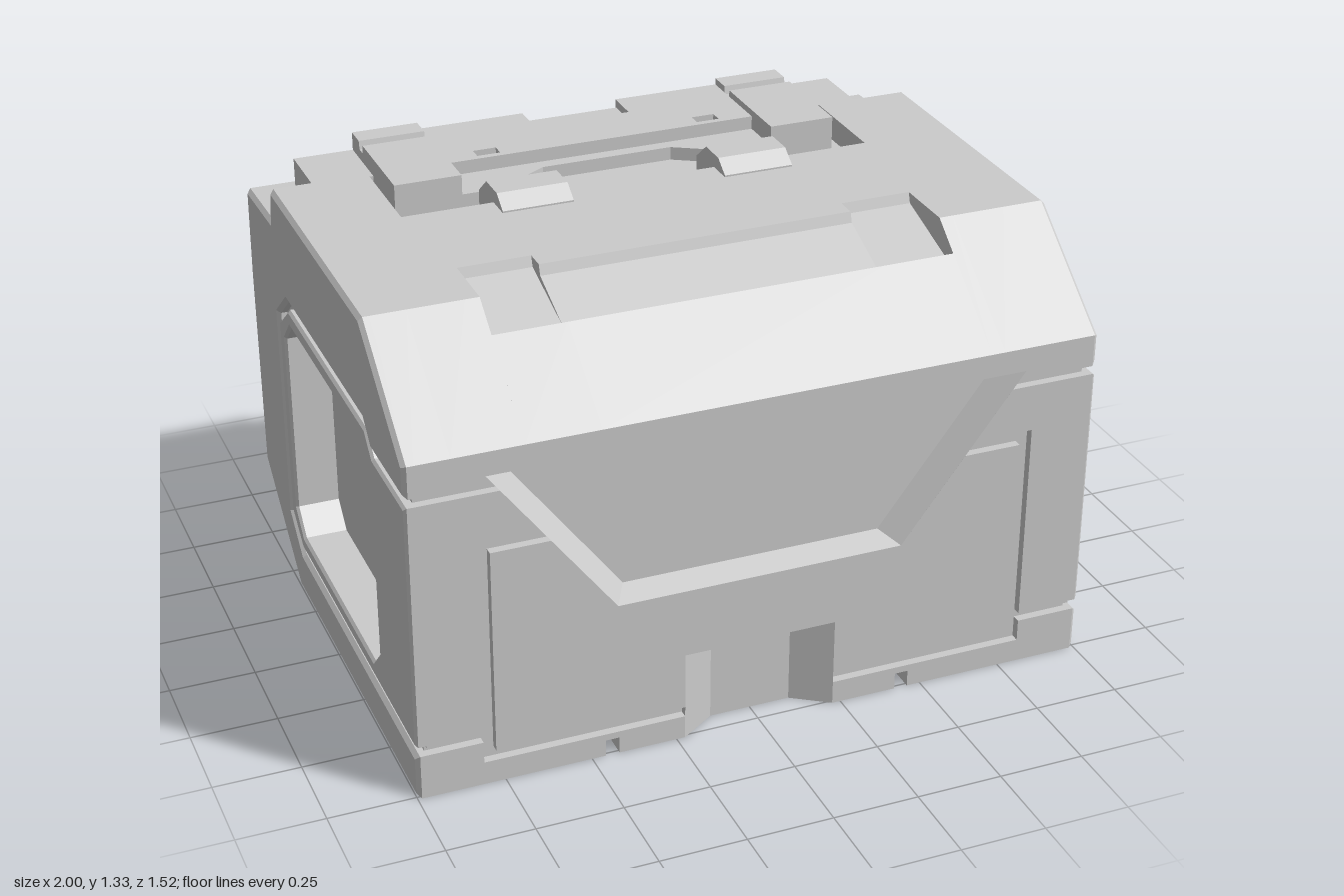
import * as THREE from 'three';

const mat = new THREE.MeshStandardMaterial({ color: 0xcccccc, side: THREE.DoubleSide, flatShading: true });

function makeShape(pts, holes = []) {
  const v = (p) => p.map(([a, b]) => new THREE.Vector2(a, b));
  const s = new THREE.Shape(v(pts));
  s.holes = holes.map((h) => new THREE.Path(v(h)));
  return s;
}

// Points are [z, y]; extruded from x0 to x1, optionally with a bevelled rim
function alongX(pts, x0, x1, holes = [], bevel = 0) {
  const flip = (p) => p.map(([z, y]) => [-z, y]);
  const g = new THREE.ExtrudeGeometry(makeShape(flip(pts), holes.map(flip)), {
    depth: x1 - x0 - 2 * bevel, bevelEnabled: bevel > 0, bevelThickness: bevel,
    bevelSize: bevel, bevelOffset: -bevel, bevelSegments: 1,
  });
  return g.rotateY(Math.PI / 2).translate(x0 + bevel, 0, 0);
}

// Points are [x, z]; extruded from y0 to y1
function alongY(pts, y0, y1, holes = []) {
  const g = new THREE.ExtrudeGeometry(makeShape(pts, holes), { depth: y1 - y0, bevelEnabled: false });
  return g.rotateX(Math.PI / 2).translate(0, y1, 0);
}

// Points are [x, y]; extruded from z0 to z1
function alongZ(pts, z0, z1, holes = []) {
  const g = new THREE.ExtrudeGeometry(makeShape(pts, holes), { depth: z1 - z0, bevelEnabled: false });
  return g.translate(0, 0, z0);
}

// Sloping wall between two loops of [x, y, z] points
function wallBetween(a, b) {
  const pos = [];
  a.forEach((p, i) => {
    const j = (i + 1) % a.length;
    pos.push(...p, ...a[j], ...b[j], ...p, ...b[j], ...b[i]);
  });
  const g = new THREE.BufferGeometry();
  g.setAttribute('position', new THREE.Float32BufferAttribute(pos, 3));
  g.computeVertexNormals();
  return g;
}

const rect = (a0, a1, b0, b1) => [[a0, b0], [a1, b0], [a1, b1], [a0, b1]];
const mirrored = (half) => [...half, ...half.map(([x, y]) => [-x, y]).reverse()];

export function createModel() {
  const group = new THREE.Group();
  const add = (name, geo) => {
    const m = new THREE.Mesh(geo, mat);
    m.name = name;
    group.add(m);
    return m;
  };
  // Adds a part on +x and its mirror image on -x
  const addPair = (name, make) => {
    add(name + 'Left', make(1));
    add(name + 'Right', make(-1));
  };
  const pairX = (name, pts, x0, x1, holes, bevel) =>
    addPair(name, (s) => (s > 0 ? alongX(pts, x0, x1, holes, bevel) : alongX(pts, -x1, -x0, holes, bevel)));
  const flipX = (pts, s) => pts.map(([x, b]) => [s * x, b]);

  // Core cross-sections, inset at the front and bottom to leave room for plates
  const lower = [[0.76, 1.02], [0.76, 0.95], [0.69, 0.95], [0.69, 0.04], [-0.462, 0.04], [-0.75, 0.27], [-0.76, 0.9]];
  const stepBack = [[-0.75, 1.17], [-0.48, 1.18], [-0.46, 1.285]];
  const pocketBack = [[-0.757, 0.96], [-0.72, 0.96], [-0.72, 1.21], [-0.14, 1.21], [-0.14, 1.285]];
  const slot = (z) => [[z, 1.285], [z + 0.01, 1.255], [0.47, 1.185], [0.51, 1.215]];
  const plainTop = [[0.42, 1.285]];
  const octagon = [[0.45, 0.28], [0.38, 0.21], [-0.33, 0.21], [-0.4, 0.28],
    [-0.4, 0.84], [-0.33, 0.91], [0.38, 0.91], [0.45, 0.84]];

  add('coreMiddle', alongX([...lower, ...pocketBack, ...slot(0.29)], -0.46, 0.46));
  pairX('coreSlotEnd', [...lower, ...pocketBack, ...slot(0.23)], 0.46, 0.67);
  pairX('corePocketEnd', [...lower, ...pocketBack, ...plainTop], 0.67, 0.71);
  pairX('coreSide', [...lower, ...stepBack, ...plainTop], 0.71, 0.87);
  pairX('windowWall', [...lower, ...stepBack, ...plainTop], 0.87, 0.97, [octagon]);

  // Side shells: a C-shaped outer frame and an inner panel separated by a groove
  const frame = [[0.76, 0.135], [0.76, 0], [-0.41, 0], [-0.75, 0.27], [-0.76, 0.9], ...stepBack,
    [0.42, 1.285], [0.76, 1.02], [0.76, 0.925], [0.47, 0.925], [0.41, 0.985], [-0.35, 0.985],
    [-0.47, 0.89], [-0.47, 0.23], [-0.36, 0.135]];
  const panel = [[0.76, 0.9], [0.48, 0.9], [0.42, 0.96], [-0.34, 0.96], [-0.45, 0.875],
    [-0.45, 0.245], [-0.35, 0.165], [0.76, 0.165]];
  pairX('sideFrame', frame, 0.95, 1, [], 0.012);
  pairX('sidePanel', panel, 0.95, 1, [octagon], 0.008);

  // Front backing plate with trapezoid recess and lower notch
  add('frontBacking', alongZ(mirrored([[0.225, 0.04], [0.97, 0.04], [0.97, 0.95], [0.78, 0.95], [0.42, 0.475]])
    .concat([[-0.225, 0.27], [0.225, 0.27]]), 0.69, 0.735));
  add('trapezoidBevel', wallBetween(
    [[-0.78, 0.95, 0.76], [-0.42, 0.475, 0.76], [0.42, 0.475, 0.76], [0.78, 0.95, 0.76]],
    [[-0.72, 0.95, 0.69], [-0.38, 0.5, 0.69], [0.38, 0.5, 0.69], [0.72, 0.95, 0.69]]));

  // Raised front plates separated by grooves
  add('frontPanel', alongZ(mirrored([[0.225, 0.27], [0.225, 0.1], [0.775, 0.1], [0.775, 0.72],
    [0.606, 0.72], [0.42, 0.475]]), 0.73, 0.76));
  addPair('frontCornerPlate', (s) => alongZ(flipX([[0.97, 0.9], [0.742, 0.9], [0.636, 0.76], [0.81, 0.76],
    [0.81, 0.16], [0.97, 0.16]], s), 0.73, 0.76));
  addPair('frontTopStrip', (s) => alongZ(flipX([[0.97, 0.925], [0.761, 0.925], [0.78, 0.95], [0.97, 0.95]], s), 0.73, 0.76));
  addPair('frontFootStrip', (s) => alongZ(flipX([[0.97, 0.135], [0.81, 0.135], [0.81, 0.07], [0.225, 0.07],
    [0.225, 0], [0.42, 0], [0.42, 0.05], [0.46, 0.05], [0.46, 0], [0.97, 0]], s), 0.73, 0.76));
  addPair('notchCheek', (s) => alongY(flipX([[0.225, 0.76], [0.225, 0.69], [0.12, 0.69]], s), 0, 0.27));

  // Bottom plate with grooves, bolt slots and a bevelled square recess
  const bolts = [];
  for (const x of [-0.8, 0.8]) {
    for (const z of [-0.31, 0.62]) {
      bolts.push([[x - 0.06, z], [x - 0.035, z - 0.03], [x + 0.035, z - 0.03],
        [x + 0.06, z], [x + 0.035, z + 0.03], [x - 0.035, z + 0.03]]);
    }
  }
  const square = rect(-0.2, 0.2, -0.2, 0.2);
  const bottom = mirrored([[0.225, 0.69], [0.225, 0.735], [0.42, 0.735], [0.42, -0.1], [0.36, -0.13],
    [0.36, -0.16], [0.46, -0.16], [0.46, 0.735], [0.97, 0.735], [0.97, -0.41],
    [0.52, -0.41], [0.52, -0.37], [0.48, -0.34], [0.46, -0.36], [0.46, -0.41]]);
  add('bottomPlate', alongY(bottom, 0, 0.04, [square, ...bolts]));
  add('bottomRecessBevel', wallBetween(square.map(([x, z]) => [x, 0, z]),
    square.map(([x, z]) => [x * 0.75, 0.039, z * 0.75])));
  const wedge = [[-0.41, 0], [-0.41, 0.04], [-0.462, 0.04]];
  add('bottomEdgeMiddle', alongX(wedge, -0.46, 0.46));
  pairX('bottomEdge', wedge, 0.52, 0.97);

  // Hinge assembly in the top pocket
  pairX('hingeBlock', [[-0.3, 1.2], [-0.3, 1.31], [-0.61, 1.31], [-0.615, 1.285], [-0.645, 1.285],
    [-0.65, 1.31], [-0.72, 1.31], [-0.72, 1.2]], 0.48, 0.68);
  pairX('hingeEnd', rect(-0.72, -0.51, 1.16, 1.255), 0.68, 0.86);
  add('hingePlate', alongY([[-0.48, -0.44], [0.48, -0.44], [0.48, -0.72], [0.15, -0.72], [0.15, -0.61],
    [-0.15, -0.61], [-0.15, -0.72], [-0.48, -0.72]], 1.2, 1.29,
  [-0.345, 0.345].map((x) => rect(x - 0.035, x + 0.035, -0.5, -0.46))));
  add('hingePlateInset', alongY(rect(-0.15, 0.15, -0.715, -0.61), 1.2, 1.265));
  add('hingeTongue', alongY(mirrored([[0.2, -0.4], [0.37, -0.3], [0.48, -0.3], [0.48, -0.44]]), 1.2, 1.25));
  add('pocketLip', alongY(mirrored([[0.52, -0.2], [0.56, -0.17], [0.68, -0.17], [0.68, -0.14]]), 1.2, 1.255));

  // Lid clips
  pairX('clip', [[-0.27, 1.21], [-0.27, 1.27], [-0.2, 1.325], [-0.11, 1.325], [-0.06, 1.29], [-0.06, 1.26]], 0.23, 0.44);

  return group;
}
